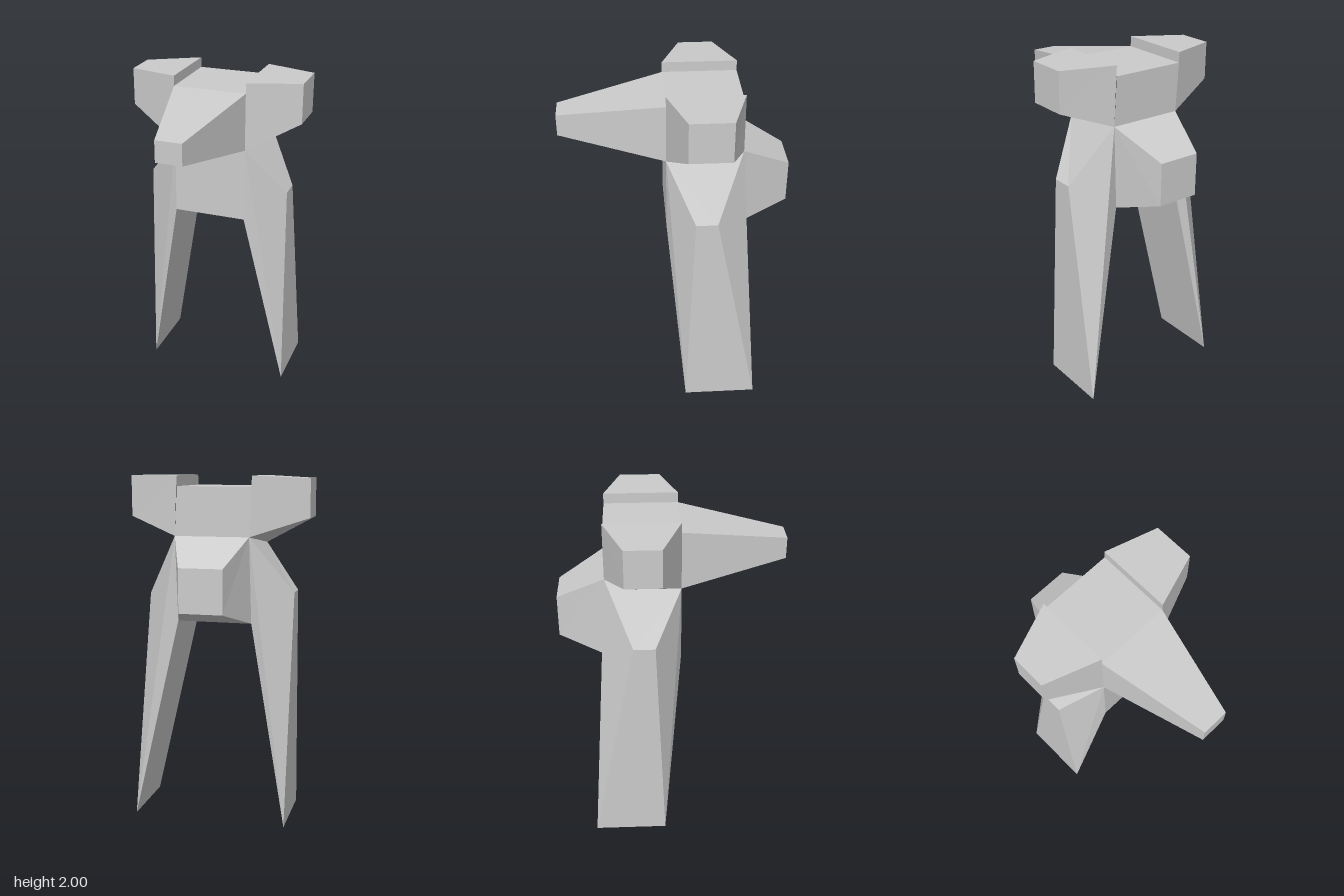
import * as THREE from 'three';

const material = new THREE.MeshStandardMaterial({ color: 0xcccccc, flatShading: true });

// Mesh from quads (corners counter-clockwise from outside, split along corners 0-2)
function panels(name, quads, flip = false) {
  const points = [];
  for (const [a, b, c, d] of quads) {
    points.push(...(flip ? [a, c, b, a, d, c] : [a, b, c, a, c, d]));
  }
  const geometry = new THREE.BufferGeometry();
  geometry.setAttribute('position', new THREE.Float32BufferAttribute(points.flat(), 3));
  geometry.computeVertexNormals();
  const mesh = new THREE.Mesh(geometry, material);
  mesh.name = name;
  return mesh;
}

// Four-sided limb from an open base quad to a closed tip quad
function limb(name, base, tip, flip = false) {
  const quads = [tip];
  for (let i = 0; i < 4; i++) {
    const j = (i + 1) % 4;
    quads.push(i < 2
      ? [base[i], base[j], tip[j], tip[i]]
      : [base[j], tip[j], tip[i], base[i]]);
  }
  return panels(name, quads, flip);
}

// Corners where the limbs join the body, on one side
function corners(s) {
  const x = s > 0 ? 0.22 : -0.215;
  const front = 0.055, back = -0.38;
  return {
    x, front, back,
    frontTop: [x, 1.94, front],
    backTop: [x, 1.94, back],
    frontMid: [x, 1.6, front],
    backMid: [s > 0 ? 0.235 : -0.2, 1.66, back],
    frontLow: [x, 1.16, front],
    backLow: [x, 1.17, back],
    frontCrest: [x, 2, front],
    backCrest: [x, 2, back],
  };
}

export function createModel() {
  const model = new THREE.Group();
  model.name = 'figure';
  const L = corners(1), R = corners(-1);

  // Body: top, upper back, chest and underside
  model.add(panels('body', [
    [R.frontTop, L.frontTop, L.backTop, R.backTop],
    [L.backMid, R.backMid, R.backTop, L.backTop],
    [R.frontLow, L.frontLow, L.frontMid, R.frontMid],
    [R.backLow, L.backLow, L.frontLow, R.frontLow],
  ]));

  // Snout, tapering forward
  model.add(limb('snout',
    [R.frontTop, R.frontMid, L.frontMid, L.frontTop],
    [[-0.075, 1.835, 0.66], [-0.075, 1.71, 0.66], [0.08, 1.71, 0.66], [0.08, 1.835, 0.66]]));

  // Rear block, tapering backward
  model.add(limb('rear',
    [L.backMid, L.backLow, R.backLow, R.backMid],
    [[0.13, 1.51, -0.66], [0.13, 1.26, -0.66], [-0.12, 1.26, -0.66], [-0.12, 1.51, -0.66]]));

  for (const [side, s, c] of [['left', 1, L], ['right', -1, R]]) {
    const flip = s < 0;

    // Shoulder block with the small step above the body top
    const sx = s * 0.525, st = flip ? 1.985 : 2;
    const sf = flip ? -0.06 : -0.045, sb = flip ? -0.265 : -0.285;
    model.add(limb(side + 'Shoulder',
      [c.frontCrest, c.frontMid, c.backMid, c.backCrest],
      [[sx, st, sf], [sx, 1.765, sf], [sx, 1.765, sb], [sx, st, sb]], flip));
    model.add(panels(side + 'ShoulderStep',
      [[c.frontTop, c.frontCrest, c.backCrest, c.backTop]], flip));

    // Leg, running from a narrow hip edge to a thin foot edge
    const hx = flip ? -0.435 : 0.44, hy = flip ? 1.335 : 1.305;
    const fx = flip ? -0.435 : 0.465;
    model.add(limb(side + 'Leg',
      [c.frontMid, c.frontLow, c.backLow, c.backMid],
      [[hx, hy, -0.1], [fx, 0, -0.05], [fx, 0, -0.485], [hx, hy, -0.225]], flip));
  }
  return model;
}
